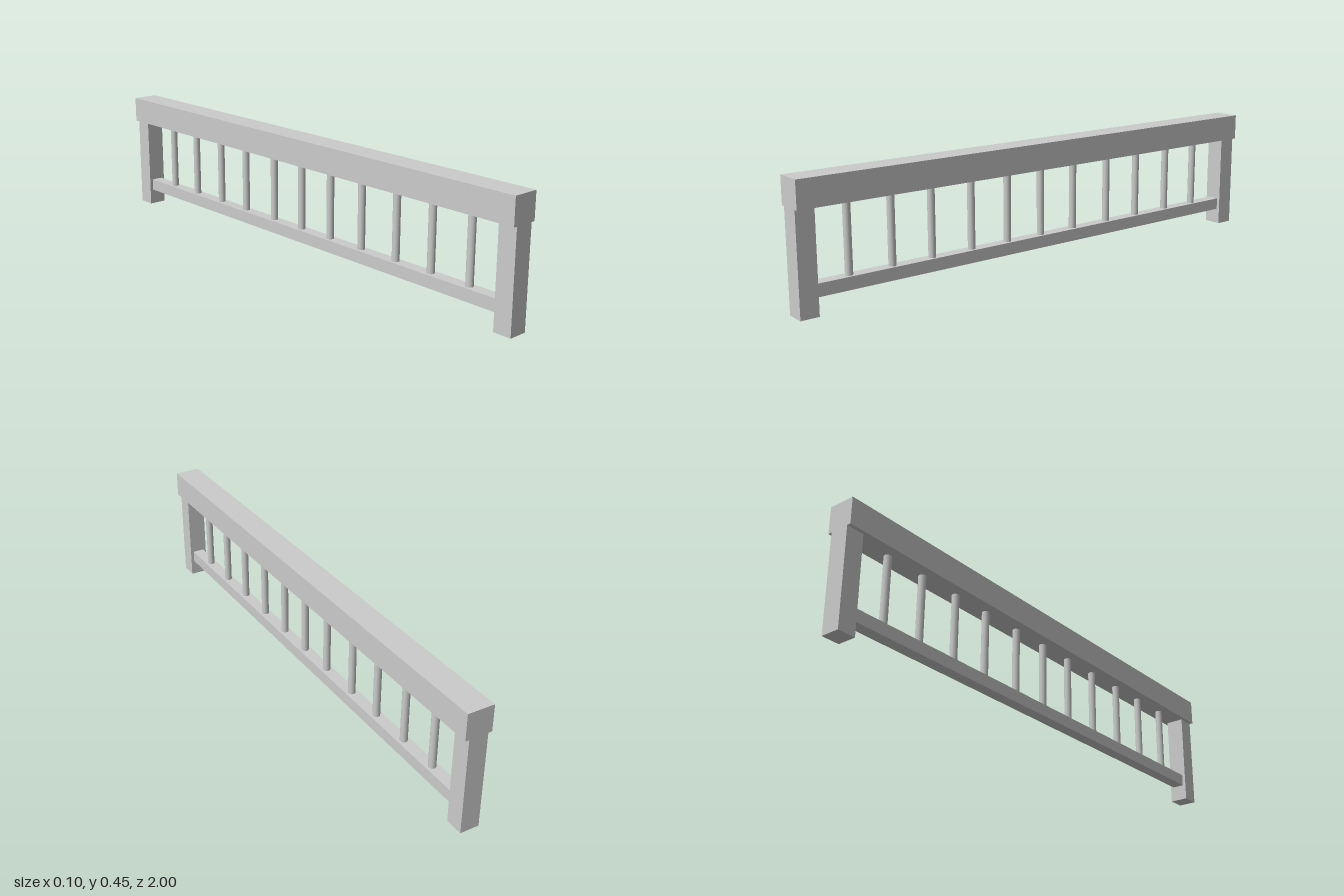
import * as THREE from 'three';

const material = new THREE.MeshStandardMaterial({ color: 0xcccccc });

export function createModel() {
  const group = new THREE.Group();

  function add(name, geometry, x, y, z) {
    const mesh = new THREE.Mesh(geometry, material);
    mesh.name = name;
    mesh.position.set(x, y, z);
    group.add(mesh);
  }

  // box spanning y0..y1, centred on x = 0
  const beam = (name, width, y0, y1, length, z) =>
    add(name, new THREE.BoxGeometry(width, y1 - y0, length), 0, (y0 + y1) / 2, z);

  const railBottom = 0.356, lowerTop = 0.105, postDepth = 0.067;

  // top handrail and lower rail between the posts
  beam('handrail', 0.098, railBottom, 0.453, 2, 0);
  beam('lowerRail', 0.045, 0.06, lowerTop, 2 - 2 * postDepth, 0);

  // end posts
  beam('frontPost', 0.07, 0, railBottom, postDepth, 1 - postDepth / 2);
  beam('backPost', 0.07, 0, railBottom, postDepth, -1 + postDepth / 2);

  // round balusters, slightly unevenly spaced
  const spots = [0.804, 0.641, 0.483, 0.318, 0.16, 0.007, -0.148, -0.317, -0.473, -0.636, -0.794];
  const baluster = new THREE.CylinderGeometry(0.0135, 0.0135, railBottom - lowerTop, 16);
  for (const z of spots) add('baluster', baluster, 0, (railBottom + lowerTop) / 2, z);

  return group;
}
